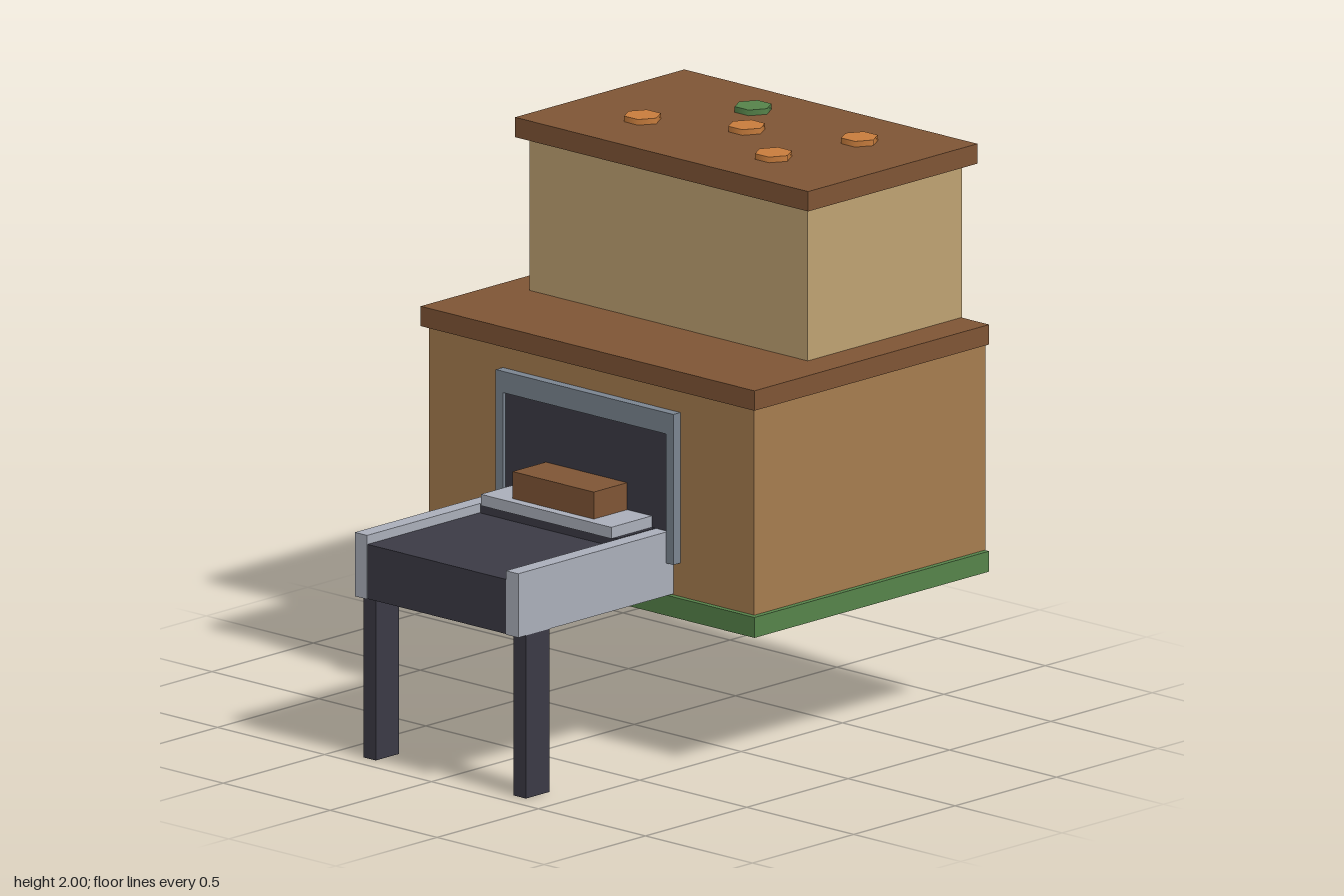
import * as THREE from 'three';

export function createModel() {
  const model = new THREE.Group();
  model.name = 'ovenWithFeedTable';

  const paint = (name, color) => {
    const m = new THREE.MeshStandardMaterial({ color });
    m.name = name;
    return m;
  };
  const clay = paint('clay brown', 0xa67c4f);
  const tan = paint('tan', 0xbea272);
  const wood = paint('dark wood', 0x7f5535);
  const green = paint('green', 0x56834a);
  const steel = paint('light steel', 0xaaafba);
  const slate = paint('slate grey', 0x7b8591);
  const dark = paint('charcoal', 0x3b3a45);
  const orange = paint('orange', 0xc87d3d);

  // Box given by its limits on each axis
  const box = (name, mat, [x0, x1], [y0, y1], [z0, z1]) => {
    const mesh = new THREE.Mesh(new THREE.BoxGeometry(x1 - x0, y1 - y0, z1 - z0), mat);
    mesh.position.set((x0 + x1) / 2, (y0 + y1) / 2, (z0 + z1) / 2);
    mesh.name = name;
    model.add(mesh);
  };
  const wide = (w) => [-w, w];

  // Stacked housing
  box('body', clay, wide(0.76), [0.502, 1.368], [-0.93, 0.21]);
  box('baseTrim', green, wide(0.78), [0.5, 0.572], [-0.928, 0.23]);
  box('ledge', wood, wide(0.78), [1.3, 1.37], [-0.928, 0.23]);
  box('upperBlock', tan, wide(0.65), [1.37, 1.91], [-0.93, -0.17]);
  box('roof', wood, wide(0.685), [1.91, 1.98], [-0.97, -0.135]);

  // Hexagonal studs on the roof
  const studs = [[0.38, -0.71], [0, -0.555], [-0.345, -0.405], [0.305, -0.365], [-0.155, -0.75]];
  const studGeometry = new THREE.CylinderGeometry(0.065, 0.065, 0.03, 6).rotateY(Math.PI / 6);
  studs.forEach(([x, z], i) => {
    const stud = new THREE.Mesh(studGeometry, i === 4 ? green : orange);
    stud.position.set(x, 1.985, z);
    stud.name = 'roofStud';
    model.add(stud);
  });

  // Framed opening
  box('openingPanel', dark, wide(0.38), [0.69, 1.15], [0.2, 0.235]);
  box('frameTop', slate, wide(0.415), [1.145, 1.22], [0.2, 0.245]);
  for (const s of [-1, 1]) {
    const span = (a, b) => (s > 0 ? [a, b] : [-b, -a]);
    box('frameSide', slate, span(0.38, 0.415), [0.69, 1.145], [0.2, 0.245]);
    // Table rails and legs
    box('tableRail', steel, span(0.325, 0.382), [0.575, 0.8], [0.21, 0.975]);
    box('tableLeg', dark, span(0.322, 0.38), [0, 0.575], [0.82, 0.935]);
  }

  // Table bed, loading plate and the block resting on it
  box('tableBed', dark, wide(0.325), [0.576, 0.768], [0.21, 0.972]);
  box('plateSupport', dark, wide(0.32), [0.768, 0.8], [0.21, 0.42]);
  box('loadingPlate', steel, wide(0.305), [0.8, 0.84], [0.21, 0.435]);
  box('woodBlock', wood, wide(0.19), [0.84, 0.935], [0.21, 0.4]);

  return model;
}
